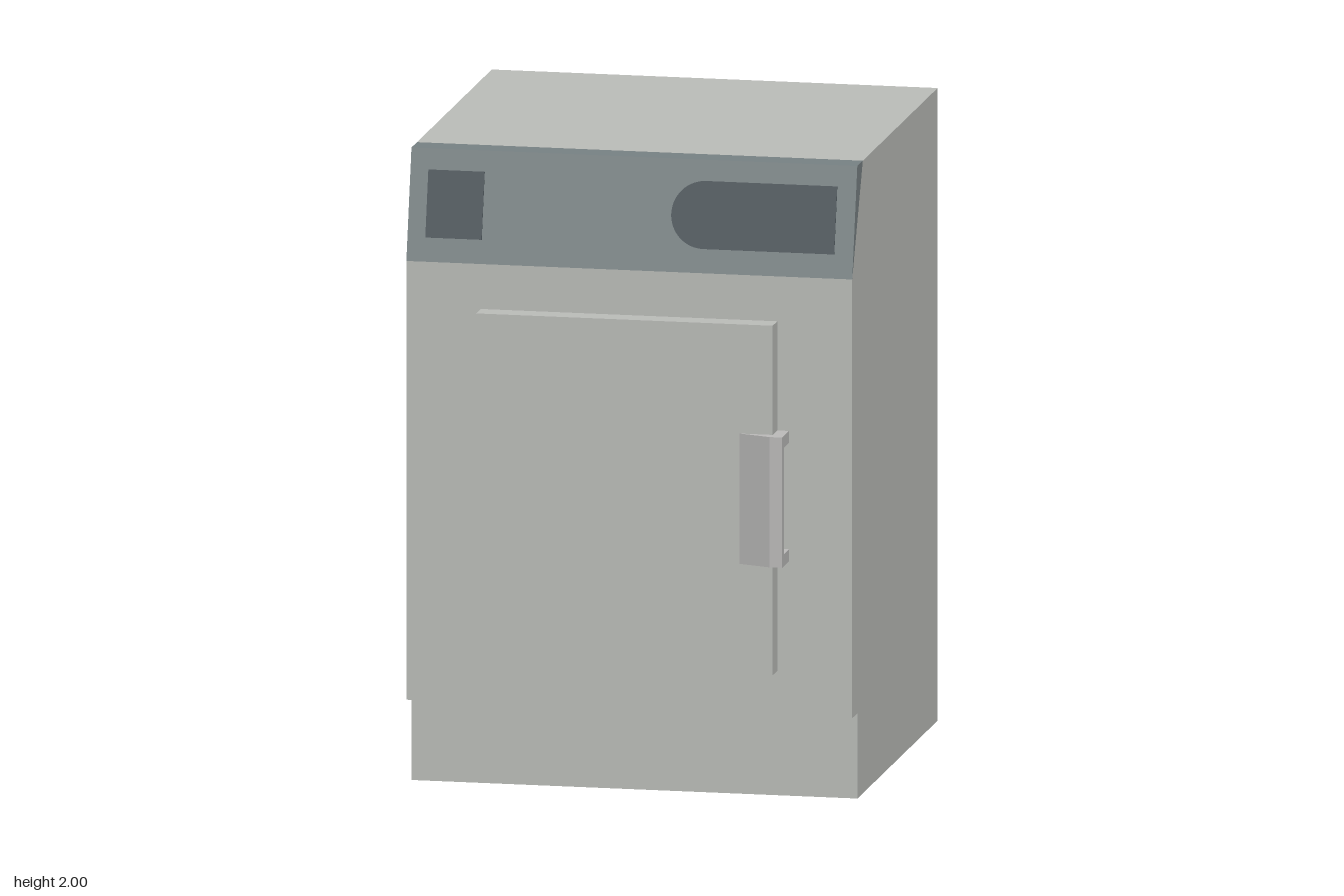
import * as THREE from 'three';

const mat = (name, color) => {
  const m = new THREE.MeshStandardMaterial({ color });
  m.name = name;
  return m;
};

const shapeOf = (pts) => new THREE.Shape(pts.map(([a, b]) => new THREE.Vector2(a, b)));
const extrude = (shape, depth) => new THREE.ExtrudeGeometry(shape, { depth, bevelEnabled: false, curveSegments: 16 });

// Profile given as (z, y), extruded along x and centred
const prismX = (pts, width) => extrude(shapeOf(pts), width).translate(0, 0, -width / 2).rotateY(-Math.PI / 2);
// Profile given as (x, z), extruded from y0 up to y1
const prismY = (pts, y0, y1) => extrude(shapeOf(pts), y1 - y0).rotateX(Math.PI / 2).translate(0, y1, 0);

// Skins a series of rectangles [halfX, yBottom, yTop, z] into flat-sided walls
function rectLoft(rings) {
  const corners = rings.map(([hx, y0, y1, z]) => [[-hx, y0, z], [hx, y0, z], [hx, y1, z], [-hx, y1, z]]);
  const pos = [];
  for (let r = 0; r < corners.length - 1; r++) {
    for (let i = 0; i < 4; i++) {
      const j = (i + 1) % 4;
      const a = corners[r][i], b = corners[r][j], c = corners[r + 1][j], d = corners[r + 1][i];
      pos.push(...a, ...d, ...b, ...b, ...d, ...c);
    }
  }
  const g = new THREE.BufferGeometry();
  g.setAttribute('position', new THREE.Float32BufferAttribute(pos, 3));
  g.computeVertexNormals();
  return g;
}

export function createModel() {
  const body = mat('body grey', 0xbdbfbb);
  const panel = mat('panel blue grey', 0x798385);
  const inset = mat('dark inset', 0x485257);
  const grip = mat('handle grey', 0xbebdbc);
  body.side = THREE.DoubleSide;

  const model = new THREE.Group();
  model.name = 'washingMachine';
  const add = (name, geometry, material, parent = model) => {
    const m = new THREE.Mesh(geometry, material);
    m.name = name;
    parent.add(m);
    return m;
  };

  const W = 1.41, back = -0.705, floor = -0.632;

  // Cabinet with set-back plinth and chamfered top front edge
  add('cabinet', prismX([[floor, 0], [0.52, 0], [0.52, 0.27], [0.6, 0.27], [0.6, 1.657], [0.438, 2], [floor, 2]], W), body);

  // Back rim around a recess with sloping sides
  add('backFrame', rectLoft([
    [W / 2, 0, 2, floor],
    [W / 2, 0, 2, back],
    [0.51, 0.228, 1.774, back],
    [0.442, 0.335, 1.667, floor],
  ]), body);

  // Sloping control panel
  add('controlPanel', prismX([[0.6, 1.657], [0.522, 2], [0.438, 2]], W), panel);

  // Details lie in the plane of the panel, measured up from its lower edge
  const face = new THREE.Group();
  face.name = 'panelDetails';
  face.position.set(0, 1.657, 0.6);
  face.rotation.x = -Math.atan2(0.078, 0.343);
  model.add(face);
  const y0 = 0.075, y1 = 0.286, r = (y1 - y0) / 2;
  add('squareInset', extrude(shapeOf([[-0.648, y0], [-0.47, y0], [-0.47, y1], [-0.648, y1]]), 0.003), inset, face);
  const display = new THREE.Shape();
  display.moveTo(0.645, y0);
  display.lineTo(0.645, y1);
  display.lineTo(0.125 + r, y1);
  display.absarc(0.125 + r, y0 + r, r, Math.PI / 2, Math.PI * 1.5, false);
  display.closePath();
  add('roundedInset', extrude(display, 0.003), inset, face);

  // Door
  add('door', new THREE.BoxGeometry(0.938, 1.105, 0.072).translate(-0.001, 0.9625, 0.634), body);

  // Handle: tapered grip standing on two arms
  const handle = new THREE.Group();
  handle.name = 'handle';
  model.add(handle);
  const outer = [[0.345, 0.664], [0.465, 0.705], [0.505, 0.705]];
  for (const [a, b] of [[0.758, 0.796], [1.132, 1.17]]) {
    add('handleArm', prismY([...outer, [0.505, 0.598], [0.345, 0.598]], a, b), grip, handle);
  }
  add('handleGrip', prismY([...outer, [0.505, 0.678], [0.44, 0.678], [0.385, 0.66]], 0.796, 1.132), grip, handle);

  return model;
}
